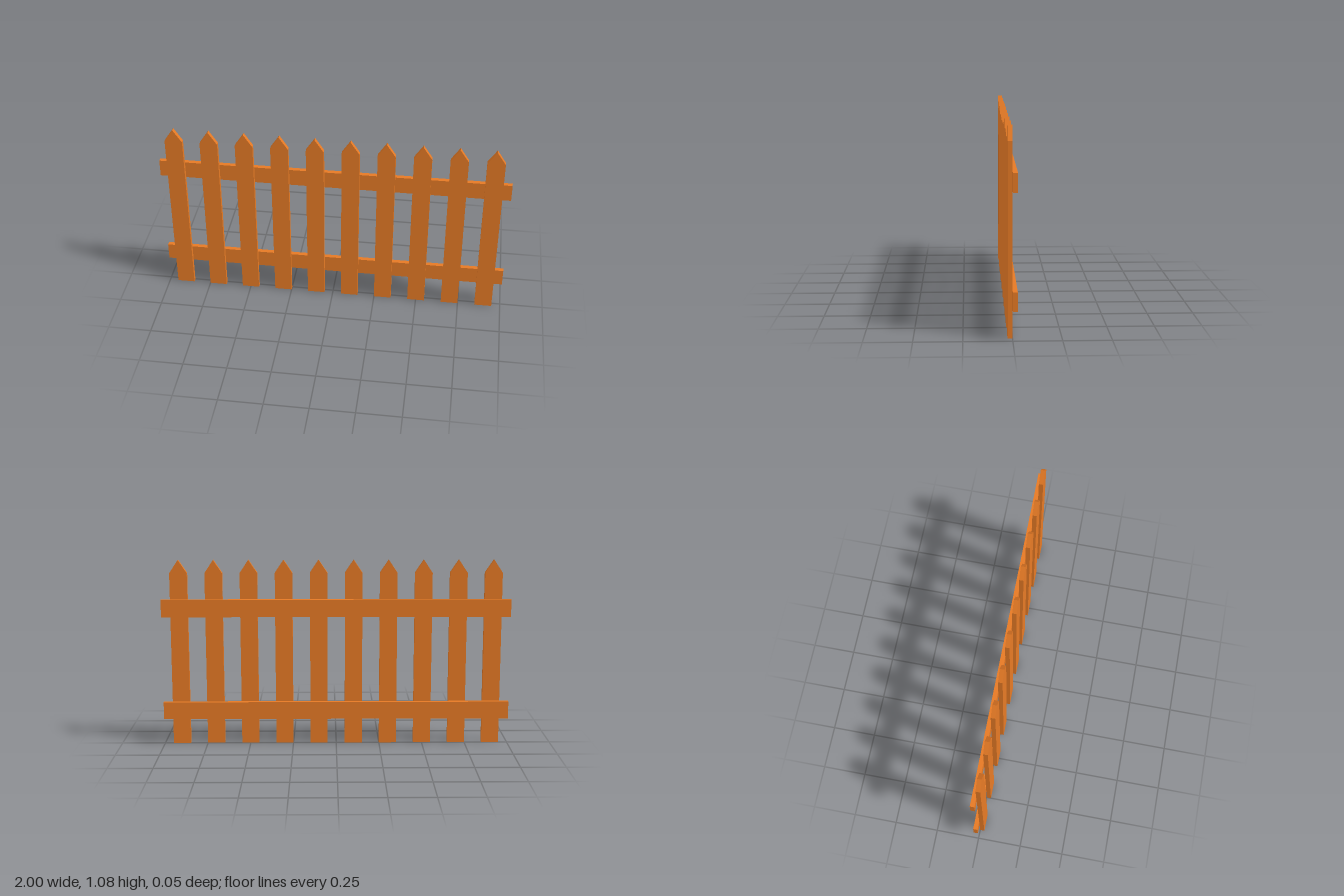
import * as THREE from 'three';

const PICKETS = 10, SPACING = 0.2;
const HALF_WIDTH = 0.05, SHOULDER = 1.0, TIP = 1.075, THICKNESS = 0.025;

export function createModel() {
  const fence = new THREE.Group();
  fence.name = 'picketFence';
  const wood = new THREE.MeshStandardMaterial({ color: 0xe67a25 });

  // Pointed picket board, extruded towards the front
  const outline = new THREE.Shape([
    new THREE.Vector2(-HALF_WIDTH, 0),
    new THREE.Vector2(HALF_WIDTH, 0),
    new THREE.Vector2(HALF_WIDTH, SHOULDER),
    new THREE.Vector2(0, TIP),
    new THREE.Vector2(-HALF_WIDTH, SHOULDER),
  ]);
  const picketGeometry = new THREE.ExtrudeGeometry(outline, { depth: THICKNESS, bevelEnabled: false });
  for (let i = 0; i < PICKETS; i++) {
    const picket = new THREE.Mesh(picketGeometry, wood);
    picket.name = `picket${i + 1}`;
    picket.position.x = (i - (PICKETS - 1) / 2) * SPACING;
    fence.add(picket);
  }

  // Two horizontal rails behind the pickets
  const railGeometry = new THREE.BoxGeometry(2, 0.1, THICKNESS);
  for (const [name, y] of [['lowerRail', 0.2], ['upperRail', 0.8]]) {
    const rail = new THREE.Mesh(railGeometry, wood);
    rail.name = name;
    rail.position.set(0, y, -THICKNESS / 2);
    fence.add(rail);
  }

  return fence;
}
